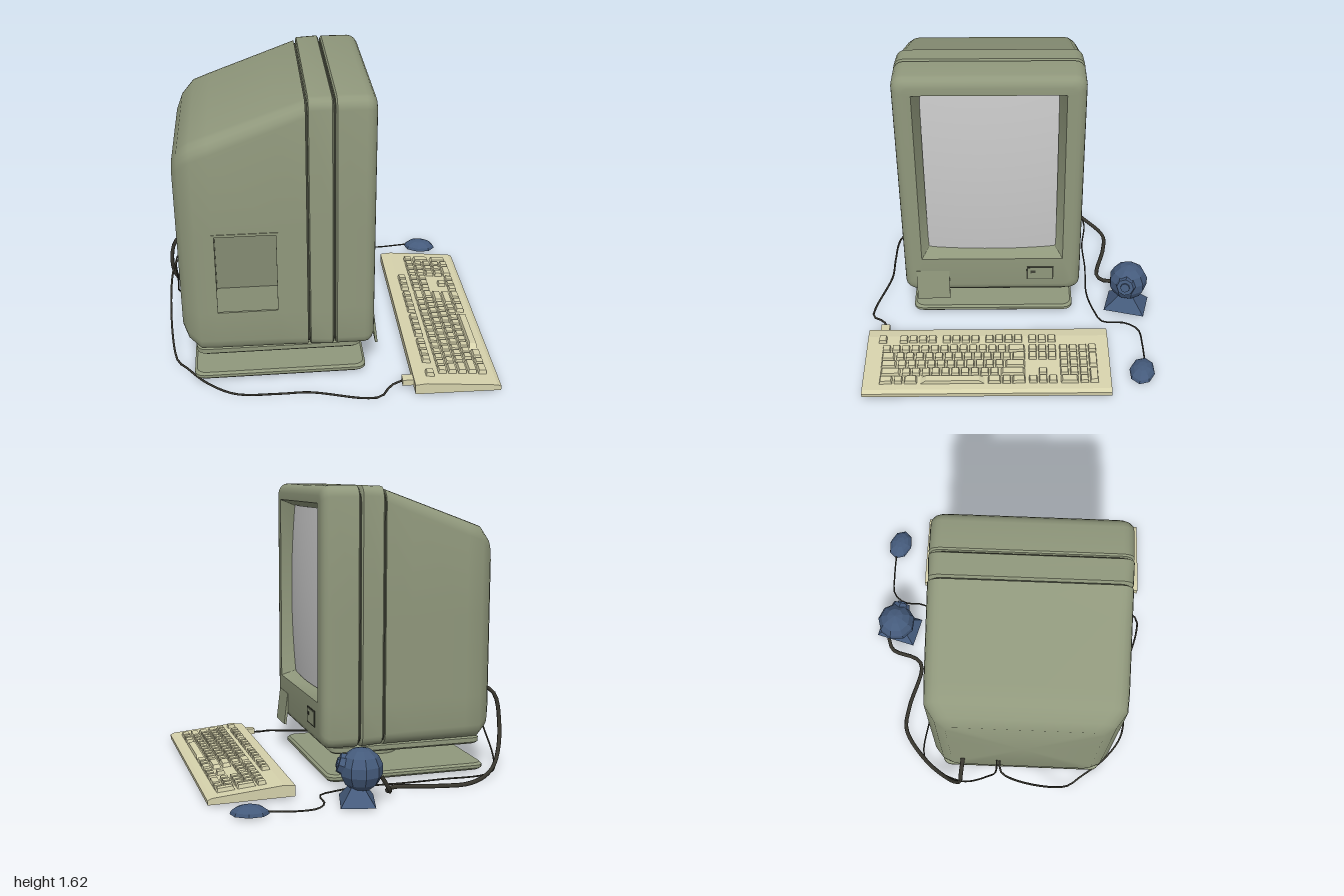
import * as THREE from 'three';
import { toCreasedNormals } from 'three/addons/utils/BufferGeometryUtils.js';

const mat = (color, extra = {}) => Object.assign(new THREE.MeshStandardMaterial({ color }), extra);
const shell = mat(0x90987c), dark = mat(0x3f4236), cream = mat(0xd6d2ac), cord = mat(0x3a3830);
const grey = mat(0xcccccc), blue = mat(0x455b7c, { flatShading: true });
const inner = mat(0x848b72, { side: THREE.DoubleSide });
const TURN = THREE.MathUtils.degToRad(105); // the set faces mostly +x
const POCKET = [0.45, 0.91]; // pocket height range

function add(parent, name, geometry, material, x = 0, y = 0, z = 0) {
  const mesh = new THREE.Mesh(geometry, material);
  mesh.name = name;
  mesh.position.set(x, y, z);
  parent.add(mesh);
  return mesh;
}

// Rounded rectangle outline, counter-clockwise, with two extra points on each side
function outline([, hw, b, t, r]) {
  const clamp = (y) => Math.min(Math.max(y, b + r), t - r);
  const pts = [[hw, clamp(POCKET[0])], [hw, clamp(POCKET[1])]];
  const corner = (cx, cy, start) => {
    for (let k = 0; k <= 4; k++) {
      const a = start + (k / 4) * Math.PI / 2;
      pts.push([cx + r * Math.cos(a), cy + r * Math.sin(a)]);
    }
  };
  corner(hw - r, t - r, 0);
  corner(-hw + r, t - r, Math.PI / 2);
  pts.push([-hw, clamp(POCKET[1])], [-hw, clamp(POCKET[0])]);
  corner(-hw + r, b + r, Math.PI);
  corner(hw - r, b + r, Math.PI * 1.5);
  return pts;
}

// Skin over sections [z, halfWidth, bottom, top, radius], running towards +z
function loft(sections, { capEnd = true, skip = () => false, crease = 0.6 } = {}) {
  const pos = [], index = [], n = 24;
  sections.forEach((s) => outline(s).forEach(([x, y]) => pos.push(x, y, s[0])));
  for (let i = 0; i < sections.length - 1; i++) {
    for (let j = 0; j < n; j++) {
      if (skip(i, j)) continue;
      const k = (j + 1) % n, a = i * n + j, b = i * n + k;
      index.push(a, b, b + n, a, b + n, a + n);
    }
  }
  const cap = (i, flip) => {
    const [z, , b, t] = sections[i], c = pos.length / 3;
    pos.push(0, (b + t) / 2, z);
    for (let j = 0; j < n; j++) {
      const p = i * n + j, q = i * n + (j + 1) % n;
      index.push(c, ...(flip ? [q, p] : [p, q]));
    }
  };
  cap(0, true);
  if (capEnd) cap(sections.length - 1, false);
  const g = new THREE.BufferGeometry();
  g.setAttribute('position', new THREE.Float32BufferAttribute(pos, 3));
  g.setIndex(index);
  return toCreasedNormals(g, crease);
}

// Flat rounded plate lying between heights y0 and y1
function plate(hw, zBack, zFront, y0, y1, r, e) {
  return loft([
    [y0, hw - e, -zFront + e, -zBack - e, r], [y0 + e, hw, -zFront, -zBack, r],
    [y1 - e, hw, -zFront, -zBack, r], [y1, hw - e, -zFront + e, -zBack - e, r],
  ]).rotateX(-Math.PI / 2);
}

function createMonitor() {
  const g = new THREE.Group();
  g.name = 'monitor';
  g.rotation.y = TURN;
  g.position.set(0.038, 0, 0.142);

  // Rear housing with a sloping roof and an opening in one side
  add(g, 'rearHousing', loft([
    [-0.865, 0.40, 0.30, 1.26, 0.06], [-0.835, 0.455, 0.24, 1.33, 0.075], [-0.77, 0.505, 0.2, 1.395, 0.08],
    [-0.68, 0.51, 0.2, 1.428, 0.08], [-0.355, 0.51, 0.2, 1.546, 0.075], [-0.205, 0.51, 0.2, 1.60, 0.07],
  ], { skip: (i, j) => i === 3 && j === 12, crease: 0.9 }), shell);

  // Side pocket: a box without its outer face, and a thin rim
  const pocket = new THREE.BoxGeometry(0.25, 0.46, 0.325);
  const faces = Array.from(pocket.index.array);
  faces.splice(6, 6);
  pocket.setIndex(faces);
  pocket.clearGroups();
  add(g, 'sidePocket', pocket, inner, -0.385, 0.68, -0.5175);
  for (const s of [-1, 1]) {
    add(g, 'pocketRim', new THREE.BoxGeometry(0.012, 0.014, 0.339), shell, -0.508, 0.68 + s * 0.23, -0.5175);
    add(g, 'pocketRim', new THREE.BoxGeometry(0.012, 0.46, 0.014), shell, -0.508, 0.68, -0.5175 + s * 0.1625);
  }

  // Dark core showing in the grooves, middle band
  add(g, 'grooveCore', loft([[-0.22, 0.495, 0.215, 1.585, 0.06], [-0.04, 0.495, 0.215, 1.59, 0.06]]), dark);
  add(g, 'middleBand', loft([
    [-0.195, 0.50, 0.21, 1.605, 0.05], [-0.19, 0.505, 0.205, 1.615, 0.055],
    [-0.075, 0.51, 0.2, 1.62, 0.055], [-0.068, 0.50, 0.21, 1.61, 0.05],
  ]), shell);

  // Front bezel, rolled round its edge and into the screen opening
  const roll = [];
  for (let k = 0; k <= 4; k++) {
    const a = (k / 4) * Math.PI / 2, d = 0.055 * (1 - Math.cos(a));
    roll.push([0.095 + 0.055 * Math.sin(a), 0.51 - d, 0.2 + d, 1.62 - d, 0.06 - d * 0.4]);
  }
  add(g, 'bezel', loft([
    [-0.058, 0.50, 0.21, 1.61, 0.05], [-0.05, 0.51, 0.2, 1.62, 0.06], ...roll,
    [0.15, 0.405, 0.445, 1.525, 0.004], [0.07, 0.365, 0.48, 1.49, 0.004],
  ], { capEnd: false }), shell);

  // Bulging glass
  const glass = new THREE.PlaneGeometry(0.735, 1.015, 16, 16), p = glass.attributes.position;
  for (let i = 0; i < p.count; i++) {
    const x = p.getX(i) / 0.3675, y = p.getY(i) / 0.5075;
    p.setZ(i, 0.045 * (1 - x * x * 0.5 - y * y * 0.5));
  }
  glass.computeVertexNormals();
  add(g, 'screen', glass, grey, 0, 0.985, 0.07);

  // Front details: button panel and hanging flap
  add(g, 'buttonPanel', new THREE.BoxGeometry(0.155, 0.092, 0.01), dark, 0.277, 0.34, 0.149);
  add(g, 'button', new THREE.BoxGeometry(0.14, 0.078, 0.012), shell, 0.277, 0.34, 0.151);
  add(g, 'buttonLight', new THREE.BoxGeometry(0.03, 0.02, 0.004), dark, 0.235, 0.352, 0.156);
  add(g, 'flap', new THREE.BoxGeometry(0.19, 0.19, 0.014), shell, -0.345, 0.263, 0.157).rotation.x = -0.12;

  // Swivel stand
  add(g, 'collar', plate(0.46, -0.8, 0.085, 0.16, 0.205, 0.05, 0.01), shell);
  add(g, 'neck', new THREE.CylinderGeometry(0.13, 0.13, 0.13, 24), shell, 0, 0.105, -0.32);
  add(g, 'standBase', plate(0.475, -0.82, 0.11, 0.008, 0.048, 0.05, 0.012), shell);
  return g;
}

function createKeyboard() {
  const g = new THREE.Group();
  g.name = 'keyboard';
  g.rotation.y = TURN;
  g.position.set(0.6, 0, 0.02);

  // Wedge case, its profile given as (depth, height)
  const profile = [[-0.23, 0.016], [0.23, 0.01], [0.232, 0.034], [0.21, 0.045], [-0.17, 0.08], [-0.232, 0.074]];
  const shape = new THREE.Shape(profile.map(([z, y]) => new THREE.Vector2(-z, y)));
  const body = new THREE.ExtrudeGeometry(shape, { depth: 1.375, bevelEnabled: false });
  add(g, 'keyboardCase', body.translate(0, 0, -0.6875).rotateY(Math.PI / 2), cream);

  // Tapered key cap
  const cap = new THREE.BoxGeometry(1, 1, 1), p = cap.attributes.position;
  for (let i = 0; i < p.count; i++) {
    if (p.getY(i) > 0) p.setXYZ(i, p.getX(i) * 0.78, p.getY(i), p.getZ(i) * 0.78);
  }
  cap.computeVertexNormals();
  const P = 0.0545, rows = [-0.07, -0.015, 0.04, 0.095, 0.15];
  const key = (x, z, w = 1, d = 1) => {
    const k = add(g, 'key', cap, cream, x, 0.087 - 0.092 * (z + 0.17), z);
    k.scale.set(w * P - 0.007, 0.028, d * P - 0.007);
    k.rotation.x = 0.092;
  };
  // Main block: key widths per row in key units
  const ones = (n) => Array(n).fill(1);
  [[...ones(13), 2], [1.5, ...ones(12), 1.5], [1.75, ...ones(11), 2.25], [2.25, ...ones(10), 2.75],
    [1.5, 1, 1.5, 7, 1.5, 1, 1.5]].forEach((widths, r) => {
    let x = -0.6;
    for (const w of widths) {
      key(x + w * P / 2, rows[r], w);
      x += w * P;
    }
  });
  // Top row in groups
  [-0.6, ...[-0.48, -0.235, 0.01].flatMap((s) => [0, 1, 2, 3].map((k) => s + k * P)), 0.255, 0.31, 0.365]
    .forEach((x) => key(x, -0.142));
  // Navigation and arrow keys
  for (const x of [0.255, 0.31, 0.365]) [rows[0], rows[1], rows[4]].forEach((z) => key(x, z));
  key(0.31, rows[3]);
  // Number pad
  for (let c = 0; c < 3; c++) rows.forEach((z, r) => { if (r < 4 || c === 2) key(0.43 + c * P, z); });
  key(0.457, rows[4], 2);
  key(0.43 + 3 * P, rows[0]);
  key(0.43 + 3 * P, 0.0125, 1, 2);
  key(0.43 + 3 * P, 0.1225, 1, 2);
  // Cable plug at the rear corner
  add(g, 'plug', new THREE.BoxGeometry(0.05, 0.035, 0.07), cream, -0.6, 0.045, -0.255);
  return g;
}

function createWebcam() {
  const g = new THREE.Group();
  g.name = 'webcam';
  g.position.set(-0.14, 0, -0.65);
  add(g, 'webcamBall', new THREE.SphereGeometry(0.115, 9, 7), blue, 0, 0.18, 0);
  const foot = new THREE.CylinderGeometry(0.04, 0.17, 0.1, 4, 1).rotateY(Math.PI / 4);
  add(g, 'webcamFoot', foot, blue, 0.02, 0.058, 0).scale.x = 0.75;
  // Stepped lens, tipped slightly upward
  const lens = new THREE.Group();
  lens.name = 'lens';
  lens.position.y = 0.18;
  lens.rotation.z = -Math.PI / 2 + 0.3;
  add(lens, 'lensRing', new THREE.CylinderGeometry(0.05, 0.06, 0.035, 8), blue, 0, 0.105, 0);
  add(lens, 'lensGlass', new THREE.CylinderGeometry(0.027, 0.03, 0.02, 8), blue, 0, 0.122, 0);
  g.add(lens);
  return g;
}

function createMouse() {
  const body = new THREE.SphereGeometry(1, 8, 8), p = body.attributes.position;
  for (let i = 0; i < p.count; i++) p.setY(i, Math.max(p.getY(i), 0));
  const mouse = new THREE.Mesh(body, blue);
  mouse.name = 'mouse';
  mouse.position.set(0.425, 0.01, -0.835);
  mouse.scale.set(0.1, 0.047, 0.072);
  return mouse;
}

function cable(parent, name, radius, points) {
  const curve = new THREE.CatmullRomCurve3(points.map((q) => new THREE.Vector3(...q)), false, 'centripetal');
  add(parent, name, new THREE.TubeGeometry(curve, points.length * 4, radius, 6), cord);
}

export function createModel() {
  const g = new THREE.Group();
  g.name = 'desktopComputer';
  g.add(createMonitor(), createKeyboard(), createWebcam(), createMouse());
  cable(g, 'keyboardCable', 0.006, [
    [0.5, 0.04, 0.65], [0.42, 0.03, 0.71], [0.38, 0.015, 0.79], [0.3, 0.008, 0.81], [0, 0.008, 0.81], [-0.16, 0.008, 0.85],
    [-0.38, 0.008, 0.89], [-0.55, 0.008, 0.83], [-0.7, 0.01, 0.72], [-0.785, 0.02, 0.65], [-0.885, 0.4, 0.27], [-0.82, 0.45, 0.24]]);
  cable(g, 'webcamCable', 0.012, [
    [-0.24, 0.15, -0.67], [-0.29, 0.06, -0.63], [-0.29, 0.015, -0.48], [-0.33, 0.013, -0.43], [-0.6, 0.013, -0.42],
    [-0.74, 0.015, -0.39], [-0.89, 0.03, -0.21], [-0.965, 0.1, -0.04], [-0.985, 0.24, 0.04], [-0.95, 0.42, 0.05], [-0.82, 0.5, 0.03]]);
  cable(g, 'mouseCable', 0.005, [
    [0.34, 0.02, -0.835], [0.2, 0.008, -0.8], [0.09, 0.006, -0.76], [0.05, 0.006, -0.68], [0.07, 0.006, -0.54], [0, 0.006, -0.48],
    [-0.15, 0.006, -0.4], [-0.4, 0.006, -0.34], [-0.6, 0.006, -0.28], [-0.88, 0.02, -0.22], [-0.95, 0.05, 0.02],
    [-0.9, 0.25, 0.2], [-0.88, 0.43, 0.24], [-0.81, 0.46, 0.22]]);
  return g;
}
